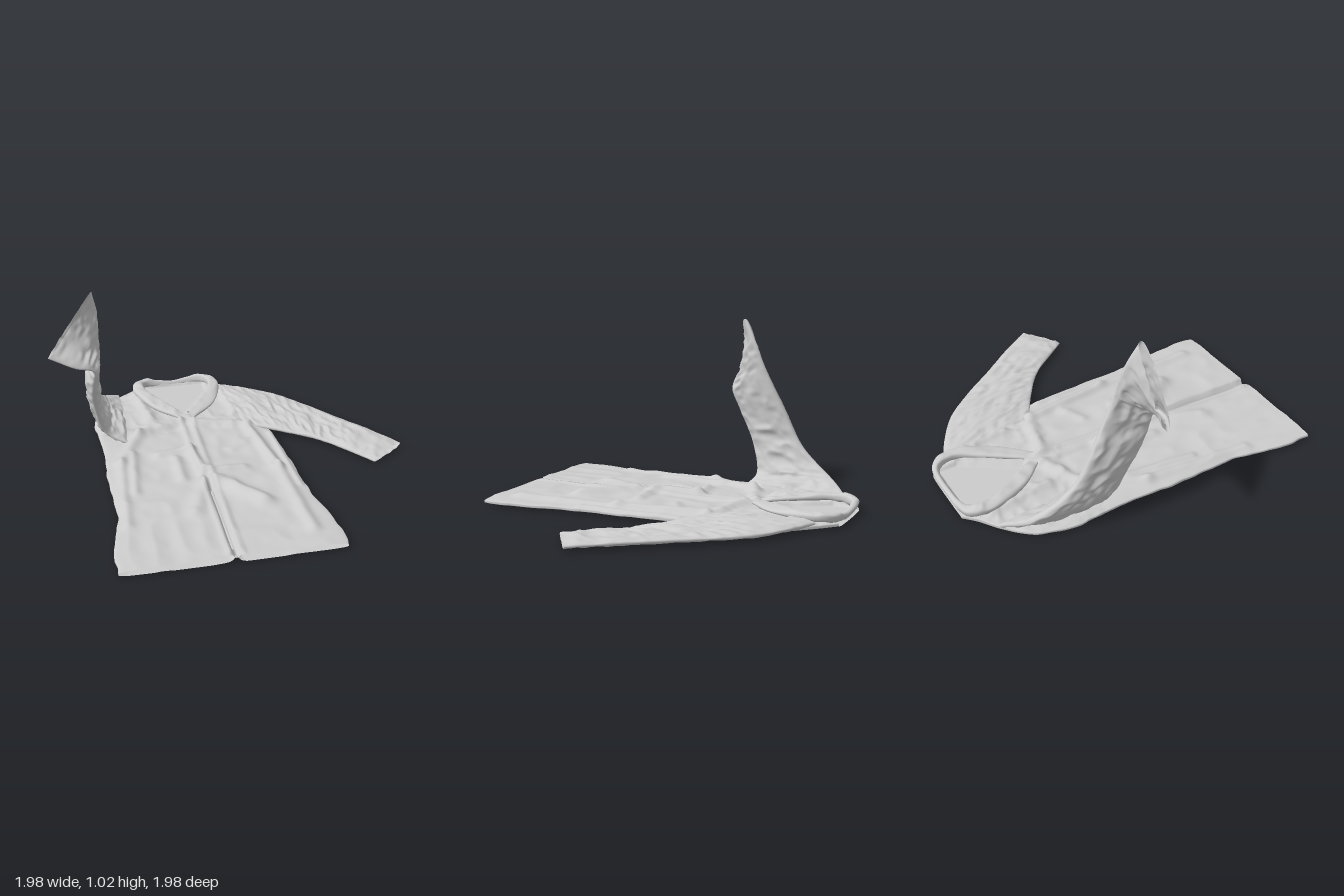
import * as THREE from 'three';

const V = (x, y, z) => new THREE.Vector3(x, y, z);
const material = new THREE.MeshStandardMaterial({ color: 0xcccccc, side: THREE.DoubleSide });

// Seeded smooth value noise, -1..1
function hash(i, j) {
  const s = Math.sin(i * 127.1 + j * 311.7) * 43758.5453;
  return (s - Math.floor(s)) * 2 - 1;
}
function noise(x, y) {
  const i = Math.floor(x), j = Math.floor(y);
  const u = THREE.MathUtils.smoothstep(x - i, 0, 1), v = THREE.MathUtils.smoothstep(y - j, 0, 1);
  const mix = THREE.MathUtils.lerp;
  return mix(mix(hash(i, j), hash(i + 1, j), u), mix(hash(i, j + 1), hash(i + 1, j + 1), u), v);
}
// Sharp-crested crumple
const crumple = (x, y) => 0.5 - Math.abs(noise(x, y)) * 1.4 + 0.35 * noise(x * 2.3 + 9, y * 2.3);

// Surface of closed loops: point(angle, v) gives each vertex
function loopSurface(name, point, around, along) {
  const pos = [], index = [];
  for (let j = 0; j <= along; j++) {
    for (let i = 0; i < around; i++) {
      const p = point((i / around) * Math.PI * 2, j / along);
      pos.push(p.x, p.y, p.z);
    }
  }
  for (let j = 0; j < along; j++) {
    for (let i = 0; i < around; i++) {
      const a = j * around + i, b = j * around + (i + 1) % around;
      index.push(a, a + around, b, b, a + around, b + around);
    }
  }
  const g = new THREE.BufferGeometry();
  g.setAttribute('position', new THREE.Float32BufferAttribute(pos, 3));
  g.setIndex(index);
  g.computeVertexNormals();
  const mesh = new THREE.Mesh(g, material);
  mesh.name = name;
  return mesh;
}

// Flattened cloth tube between two edge curves; thickness is half-depth per section
function clothTube(name, edgeA, edgeB, thickness, rough, around, along) {
  const curveA = new THREE.CatmullRomCurve3(edgeA.map(p => V(...p)));
  const curveB = new THREE.CatmullRomCurve3(edgeB.map(p => V(...p)));
  const curveT = new THREE.CatmullRomCurve3(thickness.map((t, i) => V(t, i, 0)));
  return loopSurface(name, (angle, v) => {
    const a = curveA.getPoint(v), b = curveB.getPoint(v);
    const mid = a.clone().add(b).multiplyScalar(0.5);
    const half = a.clone().sub(b).multiplyScalar(0.5);
    const along3 = curveA.getTangent(v).add(curveB.getTangent(v));
    const normal = half.clone().cross(along3).normalize();
    const s = Math.sin(angle), c = Math.cos(angle);
    const wrinkle = rough * crumple(c * half.length() * 14 + (s > 0 ? 0 : 40), v * 16) * Math.abs(s);
    const depth = Math.sign(s) * (Math.pow(Math.abs(s), 0.7) * curveT.getPoint(v).x + wrinkle);
    const p = mid.addScaledVector(half, c).addScaledVector(normal, depth);
    p.y = Math.max(p.y, 0.005);
    return p;
  }, around, along);
}

// Body outline rows: z, right edge, left edge
const outline = [
  [-0.99, -0.38, -0.01], [-0.93, -0.45, 0.05], [-0.85, -0.56, 0.13], [-0.72, -0.68, 0.24],
  [-0.5, -0.74, 0.3], [-0.25, -0.72, 0.28], [0, -0.73, 0.3], [0.3, -0.72, 0.32],
  [0.5, -0.72, 0.33], [0.72, -0.765, 0.37], [0.98, -0.78, 0.38],
];
// Folds: x1, z1, x2, z2, height, width
const folds = [
  [-0.24, -0.44, -0.5, -0.32, 0.025, 0.035], [-0.5, -0.32, -0.64, -0.02, 0.025, 0.035],
  [-0.64, -0.02, -0.68, 0.6, 0.02, 0.03], [-0.56, -0.1, -0.6, 0.3, 0.018, 0.025],
  [-0.15, -0.4, 0.2, -0.32, 0.025, 0.035], [0.15, -0.3, 0.22, 0.2, 0.03, 0.03],
  [0.22, 0.2, 0.24, 0.82, 0.025, 0.035], [0.27, -0.2, 0.29, 0.4, 0.02, 0.02],
  [-0.42, -0.06, -0.24, -0.09, 0.022, 0.03], [-0.24, -0.09, -0.2, 0.15, 0.025, 0.03],
  [-0.2, 0.18, 0.02, 0.17, 0.025, 0.03], [-0.33, 0.0, -0.33, 0.22, 0.02, 0.03],
  [-0.22, 0.28, -0.32, 0.55, 0.022, 0.045], [-0.14, 0.28, 0.06, 0.53, 0.035, 0.05],
  [0, -0.05, 0.12, -0.12, 0.015, 0.03], [-0.45, -0.85, -0.4, -0.5, 0.025, 0.03],
  [0.08, -0.85, 0.12, -0.5, 0.025, 0.03], [-0.225, -0.45, -0.22, 0.95, 0.012, 0.015],
  [-0.16, -0.45, -0.165, 0.95, 0.012, 0.015],
];
function segmentDistance(x, z, [x1, z1, x2, z2]) {
  const dx = x2 - x1, dz = z2 - z1;
  const t = THREE.MathUtils.clamp(((x - x1) * dx + (z - z1) * dz) / (dx * dx + dz * dz), 0, 1);
  return Math.hypot(x - x1 - t * dx, z - z1 - t * dz);
}
function frontHeight(x, z) {
  let h = 0.045 + 0.007 * crumple(x * 8, z * 6);
  if (z < -0.3) h += 0.008 * crumple(x * 15, z * 15);
  for (const f of folds) h += f[4] * Math.exp(-((segmentDistance(x, z, f) / f[5]) ** 2));
  // centre groove of the open lower front
  const groove = THREE.MathUtils.smoothstep(z, 0.2, 0.35);
  h -= 0.035 * groove * Math.exp(-(((x + 0.193) / 0.014) ** 2));
  // V neck shows the inside of the back panel
  const neckHalf = Math.min(0.2, (-0.52 - z) * 0.62);
  const inside = Math.min(neckHalf - Math.abs(x + 0.19), z + 0.96);
  h = THREE.MathUtils.lerp(h, 0.026, THREE.MathUtils.smoothstep(inside, -0.008, 0.012));
  return Math.min(h, 0.105);
}

function createBody() {
  const edge = k => new THREE.CatmullRomCurve3(outline.map(r => V(r[k], 0, r[0])));
  const right = edge(1), left = edge(2);
  return loopSurface('coatBody', (angle, v) => {
    const a = right.getPoint(v), b = left.getPoint(v), z = a.z;
    const c = Math.cos(angle), s = Math.sin(angle);
    const x = (a.x + b.x) / 2 + c * (b.x - a.x) / 2 + 0.008 * c * noise(z * 14, c > 0 ? 3 : 8);
    const round = Math.pow(Math.abs(s), 0.4);
    const rim = 0.022;
    const bottom = 0.008 + 0.006 * Math.max(0, noise(x * 9, z * 7))
      + 0.015 * THREE.MathUtils.smoothstep(z, 0.1, 0.4) * Math.exp(-(((x + 0.193) / 0.014) ** 2));
    const y = THREE.MathUtils.lerp(rim, s >= 0 ? frontHeight(x, z) : bottom, round);
    const notch = z > 0.9 ? 0.02 * Math.exp(-(((x + 0.193) / 0.03) ** 2)) : 0;
    return V(x, y, z - notch);
  }, 260, 170);
}

export function createModel() {
  const coat = new THREE.Group();
  coat.name = 'coat';
  coat.add(createBody());

  // Sleeve lying flat
  coat.add(clothTube('leftSleeve',
    [[0.08, 0.04, -0.89], [0.22, 0.04, -0.82], [0.4, 0.035, -0.7], [0.55, 0.035, -0.53],
      [0.7, 0.035, -0.32], [0.85, 0.035, -0.12], [0.985, 0.03, 0.075]],
    [[0.14, 0.04, -0.32], [0.27, 0.04, -0.25], [0.38, 0.035, -0.18], [0.48, 0.035, -0.11],
      [0.58, 0.03, -0.02], [0.67, 0.03, 0.1], [0.77, 0.025, 0.23]],
    [0.028, 0.03, 0.025, 0.022, 0.02, 0.022, 0.016], 0.014, 64, 110));

  // Sleeve standing upright with a flared cuff
  coat.add(clothTube('rightSleeve',
    [[-0.56, 0.045, -0.86], [-0.67, 0.11, -0.75], [-0.735, 0.28, -0.54], [-0.74, 0.5, -0.42],
      [-0.72, 0.72, -0.31], [-0.71, 0.88, -0.24], [-0.735, 1.03, -0.16]],
    [[-0.58, 0.045, -0.24], [-0.68, 0.1, -0.27], [-0.74, 0.28, -0.22], [-0.755, 0.47, -0.13],
      [-0.755, 0.6, -0.075], [-0.85, 0.625, -0.08], [-0.99, 0.665, -0.16]],
    [0.03, 0.035, 0.035, 0.038, 0.025, 0.035, 0.03], 0.016, 64, 110));

  // Turned-down collar around the V neck
  coat.add(clothTube('collar',
    [[-0.2, 0.06, -0.51], [-0.3, 0.07, -0.68], [-0.385, 0.075, -0.84], [-0.37, 0.07, -0.94],
      [-0.19, 0.045, -0.965], [-0.01, 0.07, -0.95], [0.02, 0.075, -0.85], [-0.06, 0.07, -0.7], [-0.17, 0.06, -0.52]],
    [[-0.23, 0.055, -0.46], [-0.37, 0.06, -0.62], [-0.46, 0.07, -0.86], [-0.415, 0.06, -0.975],
      [-0.19, 0.035, -0.992], [0.01, 0.06, -0.982], [0.085, 0.07, -0.88], [0.02, 0.06, -0.63], [-0.14, 0.055, -0.45]],
    [0.012, 0.016, 0.024, 0.028, 0.022, 0.028, 0.024, 0.016, 0.012], 0.009, 28, 120));

  return coat;
}
